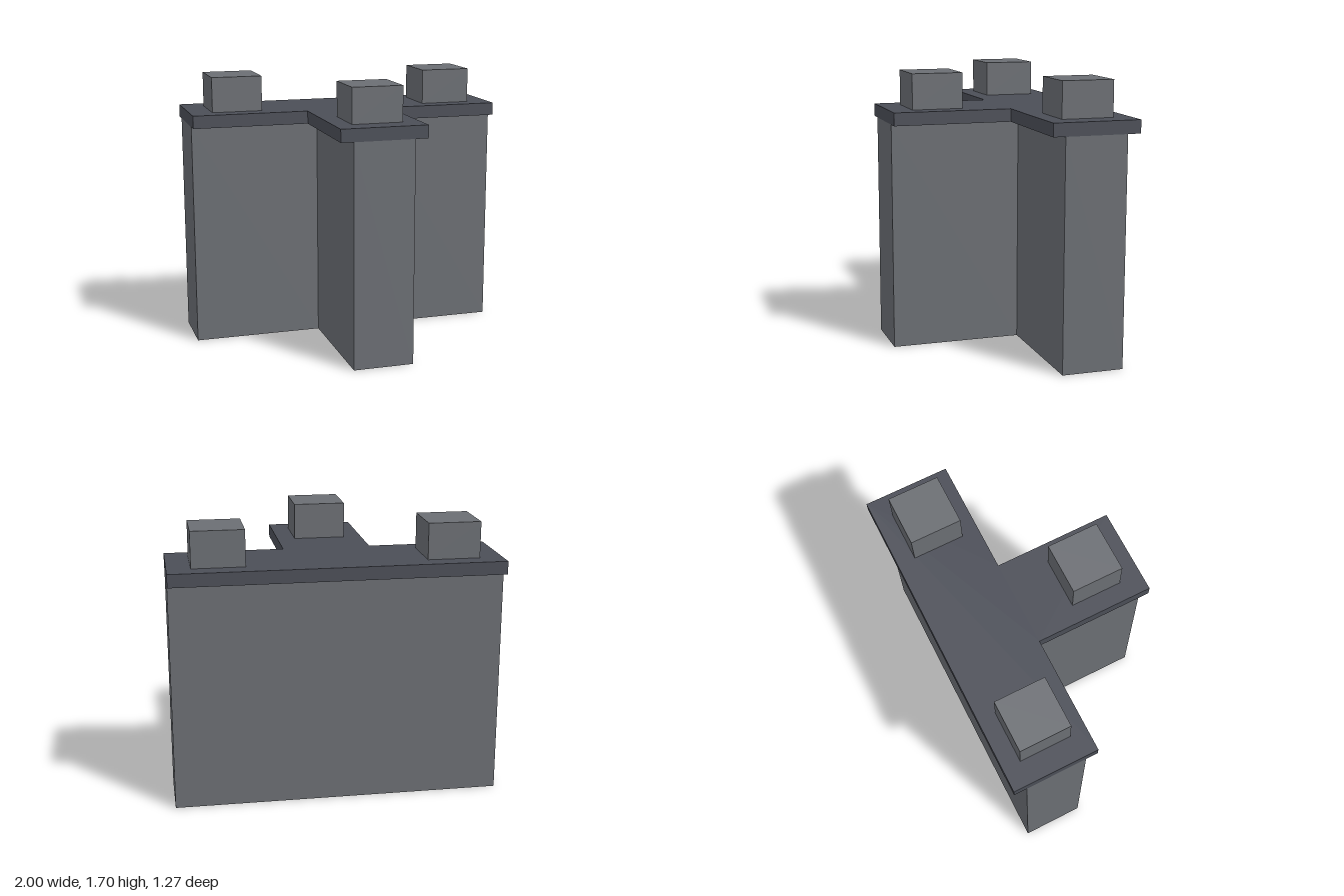
import * as THREE from 'three';

const stone = new THREE.MeshStandardMaterial({ color: 0x6b6e73, flatShading: true });
const slate = new THREE.MeshStandardMaterial({ color: 0x4b4e57, flatShading: true });

// T-shaped prism: bar across the back, stem running to the front
function teePrism(name, stemHalf, barBack, barFront, y, height, material) {
  const front = 0.635;
  const plan = [
    [-1, barBack], [1, barBack], [1, barFront], [stemHalf, barFront],
    [stemHalf, front], [-stemHalf, front], [-stemHalf, barFront], [-1, barFront],
  ];
  // plan is drawn in x and -z, then laid flat
  const shape = new THREE.Shape(plan.map(([x, z]) => new THREE.Vector2(x, -z)));
  const geometry = new THREE.ExtrudeGeometry(shape, { depth: height, bevelEnabled: false });
  geometry.rotateX(-Math.PI / 2);
  const mesh = new THREE.Mesh(geometry, material);
  mesh.name = name;
  mesh.position.y = y;
  return mesh;
}

export function createModel() {
  const model = new THREE.Group();
  model.name = 'teeWall';

  // Wall body and the overhanging coping slab, flush at the three ends
  model.add(teePrism('wallBody', 0.19, -0.555, -0.175, 0, 1.4, stone));
  model.add(teePrism('copingSlab', 0.27, -0.635, -0.1, 1.4, 0.08, slate));

  // One merlon block on each arm
  const merlons = [
    ['leftMerlon', 0.7, -0.365],
    ['rightMerlon', -0.7, -0.365],
    ['frontMerlon', 0, 0.335],
  ];
  for (const [name, x, z] of merlons) {
    const merlon = new THREE.Mesh(new THREE.BoxGeometry(0.318, 0.22, 0.318), stone);
    merlon.name = name;
    merlon.position.set(x, 1.59, z);
    model.add(merlon);
  }
  return model;
}
